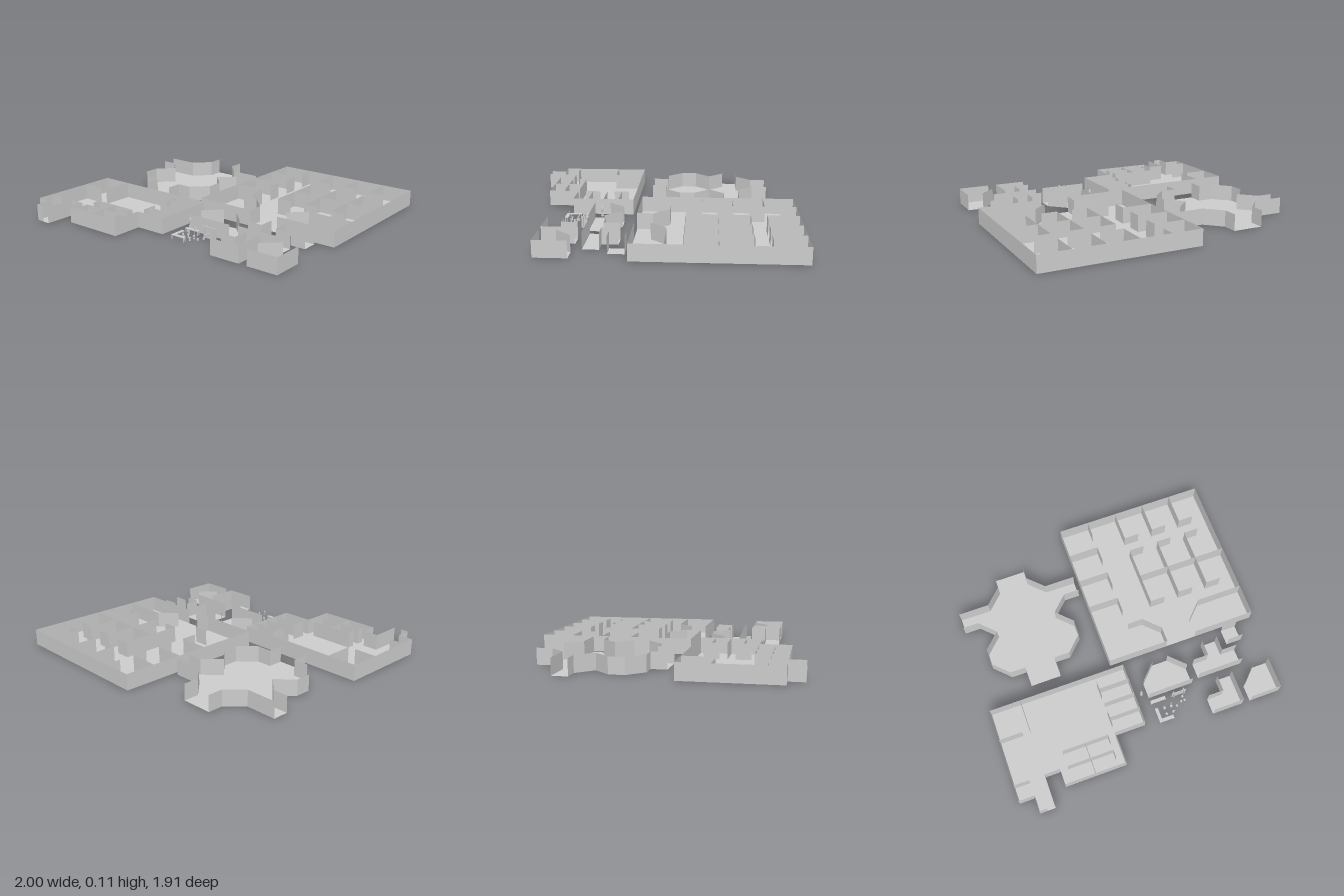
import * as THREE from 'three';

const U = 0.1092;  // floor plan module
const H = 0.113;   // wall height
const material = new THREE.MeshStandardMaterial({ color: 0xcccccc, side: THREE.DoubleSide, flatShading: true });

function add(parent, geometry, name, x = 0, y = 0, z = 0) {
  const mesh = new THREE.Mesh(geometry, material);
  mesh.name = name;
  mesh.position.set(x, y, z);
  parent.add(mesh);
  return mesh;
}

// Upright thin walls along polylines of [x, z, x, z, ...] in plan modules
function wallGeometry(lines) {
  const pos = [], index = [];
  for (const line of lines) {
    for (let i = 0; i + 3 < line.length; i += 2) {
      const [ax, az, bx, bz] = line.slice(i, i + 4).map(v => v * U);
      const n = pos.length / 3;
      pos.push(ax, 0, az, bx, 0, bz, bx, H, bz, ax, H, az);
      index.push(n, n + 1, n + 2, n, n + 2, n + 3);
    }
  }
  const geometry = new THREE.BufferGeometry();
  geometry.setAttribute('position', new THREE.Float32BufferAttribute(pos, 3));
  geometry.setIndex(index);
  geometry.computeVertexNormals();
  return geometry;
}

// A room: floor from its outline, plus outer walls and partitions
function room(parent, name, x, z, outline, walls, partitions = []) {
  const group = new THREE.Group();
  group.name = name;
  group.position.set(x, 0, z);
  const points = [];
  for (let i = 0; i < outline.length; i += 2) points.push(new THREE.Vector2(outline[i] * U, -outline[i + 1] * U));
  add(group, new THREE.ShapeGeometry(new THREE.Shape(points)).rotateX(-Math.PI / 2), 'floor');
  add(group, wallGeometry(walls), 'outerWalls');
  if (partitions.length) add(group, wallGeometry(partitions), 'partitions');
  parent.add(group);
}

function box(parent, name, x0, x1, y0, y1, z0, z1) {
  add(parent, new THREE.BoxGeometry(x1 - x0, y1 - y0, z1 - z0), name, (x0 + x1) / 2, (y0 + y1) / 2, (z0 + z1) / 2);
}

// Stool with an oval back on a slim post
function chair(parent, x, z, top, side) {
  const group = new THREE.Group();
  group.name = 'chair';
  group.position.set(x, 0, z);
  add(group, new THREE.CylinderGeometry(0.009, 0.009, 0.004, 8), 'seat', 0, 0.022, 0);
  add(group, new THREE.CylinderGeometry(0.002, 0.006, 0.02, 6), 'pedestal', 0, 0.01, 0);
  add(group, new THREE.CylinderGeometry(0.0015, 0.0015, top - 0.025, 5), 'backPost', 0, (top + 0.02) / 2, side * 0.008);
  add(group, new THREE.SphereGeometry(1, 8, 6).scale(0.008, 0.012, 0.003), 'back', 0, top - 0.012, side * 0.008);
  parent.add(group);
}

export function createModel() {
  const model = new THREE.Group();
  model.name = 'roomSet';

  // Hub room with four open corridor ends
  room(model, 'hubRoom', -0.997, -0.794,
    [3, 0, 5, 0, 5, 1, 6, 2, 8, 2, 8, 3, 7, 3, 6, 4, 7, 5, 7, 6, 6, 7, 5, 7, 5, 8,
      3, 8, 3, 7, 2, 7, 1, 6, 1, 5, 2, 4, 1, 3, 0, 3, 0, 2, 2, 2, 3, 1],
    [[5, 0, 5, 1, 6, 2, 8, 2], [8, 3, 7, 3, 6, 4, 7, 5, 7, 6, 6, 7, 5, 7, 5, 8],
      [3, 8, 3, 7, 2, 7, 1, 6, 1, 5, 2, 4, 1, 3, 0, 3], [0, 2, 2, 2, 3, 1, 3, 0]]);

  // Large square hall with cells
  const cells = [[2, 0, 2, 1], [4, 5, 10, 5],
    [2, 8, 3, 8, 4, 9, 4, 10], [6, 9, 7, 8, 10, 8]];
  for (const z of [2, 4, 6]) cells.push([0, z, 2, z, 2, z + 1]);
  for (const x of [4, 6, 8]) cells.push([x, 0, x, 2, x + 1, 2], [x + 1, 3, x, 3, x, 7, x + 1, 7]);
  room(model, 'cellHall', -0.094, -0.963, [0, 0, 10, 0, 10, 10, 0, 10],
    [[4, 10, 0, 10, 0, 0, 10, 0, 10, 10, 6, 10]], cells);

  // Long hall with booths and a side corridor
  const booths = [[2, 0, 2, 2], [0, 2, 1.5, 2], [0, 5, 1, 5], [5, 4, 5, 6],
    [7, 0.5, 7, 1.5], [7, 2.5, 7, 3.5]];
  for (const z of [1, 2, 3]) booths.push([7, z, 9, z]);
  for (const z of [4, 5]) booths.push([3.5, z + 0.5, 3.5, z, 6.5, z, 6.5, z + 0.5]);
  const longOutline = [2, 7, 2, 5, 3, 5, 3, 6, 7, 6, 7, 4, 9, 4, 9, 0, 0, 0, 0, 6, 1, 6, 1, 7];
  room(model, 'boothHall', -0.997, 0.187, longOutline, [[...longOutline, 1.5, 7]], booths);

  // Corridor pieces, open at their ends
  room(model, 'wideJunction', 0.083, 0.232, [1, 0, 2, 0, 3, 1, 3, 2, 0, 2, 0, 1],
    [[0, 1, 1, 0], [2, 0, 3, 1], [0, 2, 3, 2]]);
  room(model, 'narrowJunction', 0.467, 0.215, [1, 0, 2, 0, 2, 1, 3, 1, 3, 2, 0, 2, 0, 1, 1, 1],
    [[0, 1, 1, 1, 1, 0], [2, 0, 2, 1, 3, 1], [0, 2, 3, 2]]);
  room(model, 'squareCorner', 0.467, 0.494, [1, 0, 2, 0, 2, 2, 0, 2, 0, 1, 1, 1],
    [[0, 1, 1, 1, 1, 0], [2, 0, 2, 2, 0, 2]]);
  room(model, 'slantedCorner', 0.747, 0.494, [1, 0, 2, 0, 2, 2, 0, 2, 0, 1],
    [[0, 1, 1, 0], [2, 0, 2, 2, 0, 2]]);
  room(model, 'straightCorridor', 0.76, 0.157, [0, 0, 1, 0, 1, 1, 0, 1],
    [[0, 0, 1, 0], [0, 1, 1, 1]]);

  // Door panel between two jambs
  box(model, 'doorPanel', 0.235, 0.34, 0, 0.08, 0.495, 0.499);
  for (const x of [0.25, 0.325]) box(model, 'doorJamb', x - 0.002, x + 0.002, 0, 0.08, 0.482, 0.512);

  // Straight table and corner desk
  box(model, 'tableTop', 0.08, 0.19, 0.027, 0.032, 0.481, 0.505);
  for (const x of [0.084, 0.186]) for (const z of [0.485, 0.501])
    box(model, 'tableLeg', x - 0.002, x + 0.002, 0, 0.027, z - 0.002, z + 0.002);
  box(model, 'deskTop', 0.09, 0.112, 0.027, 0.032, 0.545, 0.652);
  box(model, 'deskReturn', 0.112, 0.196, 0.027, 0.032, 0.628, 0.652);
  for (const [x, z] of [[0.094, 0.549], [0.108, 0.549], [0.094, 0.648], [0.192, 0.632], [0.192, 0.648]])
    box(model, 'deskLeg', x - 0.002, x + 0.002, 0, 0.027, z - 0.002, z + 0.002);

  // Seats and small equipment
  for (const z of [0.562, 0.605]) {
    chair(model, 0.158, z, 0.045, z < 0.58 ? -1 : 1);
    chair(model, 0.208, z, 0.08, z < 0.58 ? -1 : 1);
  }
  for (const [x, y, z] of [[0.249, 0.01, 0.572], [0.286, 0.02, 0.556], [0.302, 0.045, 0.53], [0.307, 0.045, 0.56]])
    box(model, 'equipment', x - 0.006, x + 0.006, y - 0.007, y + 0.007, z - 0.006, z + 0.006);

  // Standing oval marker on a base
  add(model, new THREE.SphereGeometry(1, 10, 8).scale(0.009, 0.021, 0.009), 'markerBody', 0.042, 0.052, 0.407);
  add(model, new THREE.CylinderGeometry(0.003, 0.003, 0.035, 6), 'markerPost', 0.042, 0.0175, 0.407);
  add(model, new THREE.CylinderGeometry(0.008, 0.01, 0.018, 8), 'markerBase', 0.042, 0.009, 0.407);

  return model;
}
